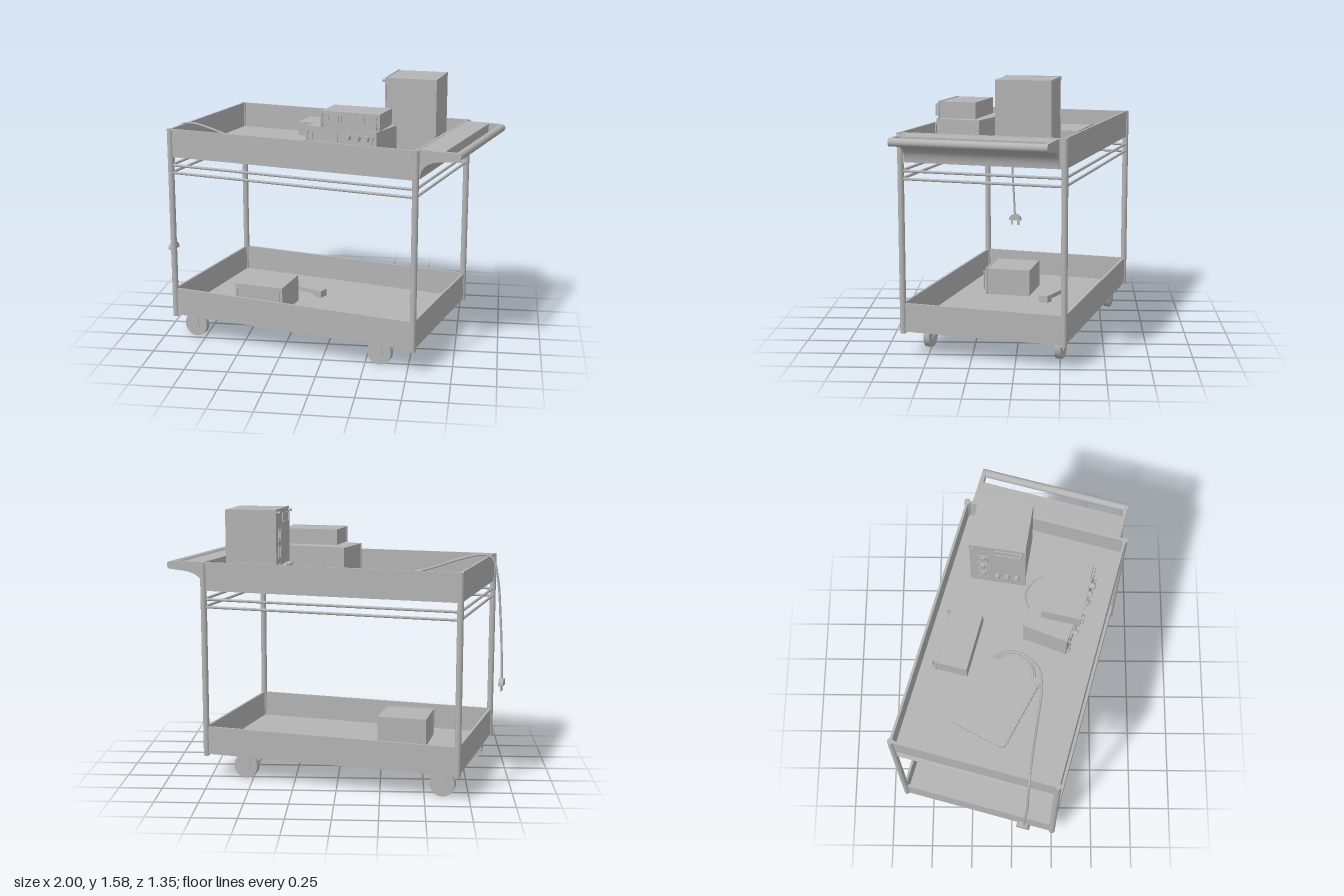
import * as THREE from 'three';

const metal = new THREE.MeshStandardMaterial({ color: 0xb4b4b4 });
metal.name = 'plain grey';
const deg = Math.PI / 180;

function add(parent, name, geometry, x = 0, y = 0, z = 0) {
  const m = new THREE.Mesh(geometry, metal);
  m.name = name;
  m.position.set(x, y, z);
  parent.add(m);
  return m;
}
const box = (p, name, w, h, d, x, y, z) => add(p, name, new THREE.BoxGeometry(w, h, d), x, y, z);
function rod(p, name, r, len, axis, x, y, z, seg = 16) {
  const g = new THREE.CylinderGeometry(r, r, len, seg);
  if (axis === 'x') g.rotateZ(Math.PI / 2);
  if (axis === 'z') g.rotateX(Math.PI / 2);
  return add(p, name, g, x, y, z);
}
const tube = (p, name, pts, r) => add(p, name, new THREE.TubeGeometry(
  new THREE.CatmullRomCurve3(pts.map(a => new THREE.Vector3(...a))), 60, r, 8));
function extrude(p, name, shape, depth, z) {
  return add(p, name, new THREE.ExtrudeGeometry(shape, { depth, bevelEnabled: false, curveSegments: 16 }), 0, 0, z);
}

const L = 0.753, W = 0.471; // half spacing of the posts

function addTray(p, name, y0) {
  const g = new THREE.Group();
  g.name = name;
  p.add(g);
  box(g, 'trayFloor', 2 * L, 0.008, 2 * W, 0, y0 + 0.008, 0);
  for (const s of [-1, 1]) {
    box(g, 'longWall', 2 * L, 0.165, 0.014, 0, y0 + 0.0825, s * W);
    box(g, 'endWall', 0.014, 0.165, 2 * W, s * L, y0 + 0.0825, 0);
  }
}

// Swivel wheel with a slanted fork plate on each side
function addCaster(p, x, z) {
  const g = new THREE.Group();
  g.name = 'caster';
  g.position.set(x, 0, z);
  p.add(g);
  rod(g, 'wheel', 0.072, 0.036, 'z', 0, 0.072, 0, 32);
  rod(g, 'axle', 0.01, 0.058, 'z', 0, 0.072, 0);
  const fork = new THREE.Shape([[-0.045, 0.148], [-0.02, 0.055], [0.025, 0.055], [0.012, 0.148]]
    .map(a => new THREE.Vector2(...a)));
  for (const s of [-1, 1]) extrude(g, 'forkPlate', fork, 0.005, s * 0.023 - 0.0025);
  box(g, 'forkTop', 0.057, 0.006, 0.05, -0.017, 0.147, 0);
}

// Curved push handle with an open slot behind the bar
function addHandle(p) {
  const profile = (end) => {
    const s = new THREE.Shape();
    s.moveTo(L, 1.278);
    s.lineTo(L, 1.115);
    s.lineTo(0.764, 1.115);
    s.bezierCurveTo(0.77, 1.175, 0.8, 1.212, 0.895, 1.222);
    s.lineTo(end, 1.229);
    s.lineTo(end, 1.275);
    return s;
  };
  extrude(p, 'handleApron', profile(0.9), 0.88, -0.44);
  for (const s of [-1, 1]) extrude(p, 'handleCheek', profile(0.972), 0.024, s * 0.43 - 0.012);
  rod(p, 'handleBar', 0.023, 0.884, 'z', 0.972, 1.252, 0, 24);
}

// Boxed instrument; its front panel faces local +z
function addUnit(p, name, w, h, d, x, y, z, angle) {
  const g = new THREE.Group();
  g.name = name;
  g.position.set(x, y, z);
  g.rotation.y = angle * deg;
  p.add(g);
  box(g, 'casing', w, h, d, 0, h / 2, 0);
  box(g, 'frontPanel', w + 0.008, h + 0.006, 0.01, 0, h / 2, d / 2 + 0.002);
  return g;
}
function addGrips(g, w, h, d) {
  for (const s of [-1, 1]) {
    const x = s * (w / 2 - 0.014), z = d / 2 + 0.022;
    box(g, 'grip', 0.008, h * 0.75, 0.008, x, h / 2, z);
    for (const t of [-1, 1]) box(g, 'gripFoot', 0.008, 0.008, 0.022, x, h / 2 + t * (h * 0.375 - 0.004), z - 0.008);
  }
}
const knob = (g, x, y, d, r = 0.015) => rod(g, 'knob', r, 0.03, 'z', x, y, d / 2 + 0.018, 20);
function addWindow(g, x, y, d, w, h) {
  for (const s of [-1, 1]) {
    box(g, 'windowFrame', w, 0.005, 0.008, x, y + s * h / 2, d / 2 + 0.009);
    box(g, 'windowFrame', 0.005, h, 0.008, x + s * w / 2, y, d / 2 + 0.009);
  }
}

function addInstruments(p) {
  const tower = addUnit(p, 'towerUnit', 0.31, 0.447, 0.295, 0.483, 1.128, -0.065, -98.7);
  for (const y of [0.1, 0.2, 0.3]) {
    addWindow(tower, -0.085, y, 0.295, 0.055, 0.07);
    box(tower, 'switch', 0.025, 0.045, 0.02, -0.085, y, 0.158);
  }
  addWindow(tower, 0.06, 0.395, 0.295, 0.15, 0.05);
  for (const x of [0, 0.055, 0.11]) knob(tower, x, 0.11, 0.295);
  for (const s of [-1, 1]) rod(tower, 'panelScrew', 0.008, 0.03, 'z', s * 0.135, 0.43, 0.16);

  const lower = addUnit(p, 'lowerUnit', 0.44, 0.202, 0.255, 0.138, 1.128, 0.255, -21);
  addGrips(lower, 0.44, 0.202, 0.255);
  for (const x of [0.05, 0.11, 0.165]) knob(lower, x, 0.165, 0.255, 0.018);
  for (const x of [-0.1, 0, 0.1]) knob(lower, x, 0.07, 0.255);
  addWindow(lower, -0.1, 0.15, 0.255, 0.16, 0.05);

  const upper = addUnit(p, 'upperUnit', 0.345, 0.093, 0.215, 0.17, 1.336, 0.3, -13);
  addGrips(upper, 0.345, 0.093, 0.215);
  for (const x of [-0.095, -0.02, 0.055]) addWindow(upper, x, 0.055, 0.215, 0.06, 0.04);

  const rear = addUnit(p, 'rearUnit', 0.345, 0.115, 0.18, -0.066, 1.128, -0.3, 165.5);
  addGrips(rear, 0.345, 0.115, 0.18);

  const shelf = addUnit(p, 'shelfUnit', 0.295, 0.165, 0.275, -0.4, 0.158, 0.055, -11);
  addGrips(shelf, 0.295, 0.165, 0.275);

  // Hand tool lying beside the shelf unit
  const tool = new THREE.Group();
  tool.name = 'handTool';
  tool.position.set(-0.2, 0.158, -0.2);
  tool.rotation.y = -27 * deg;
  p.add(tool);
  box(tool, 'toolBody', 0.26, 0.025, 0.06, 0, 0.03, 0);
  for (const s of [-1, 1]) box(tool, 'toolEnd', 0.05, 0.035, 0.062, s * 0.105, 0.0175, 0);
}

function addNotebook(p) {
  const g = new THREE.Group();
  g.name = 'notebook';
  g.position.set(-0.41, 1.15, -0.095);
  g.rotation.y = -27.5 * deg;
  p.add(g);
  const a = 0.222, b = 0.172, r = 0.025, s = new THREE.Shape();
  s.absarc(a - r, b - r, r, 0, Math.PI / 2);
  s.absarc(r - a, b - r, r, Math.PI / 2, Math.PI);
  s.absarc(r - a, r - b, r, Math.PI, 1.5 * Math.PI);
  s.absarc(a - r, r - b, r, 1.5 * Math.PI, 2 * Math.PI);
  const cover = extrude(g, 'cover', s, 0.022, 0);
  cover.rotation.x = -Math.PI / 2;
  for (let i = 0; i < 14; i++)
    add(g, 'bindingRing', new THREE.TorusGeometry(0.013, 0.002, 6, 12).rotateY(Math.PI / 2), -0.18 + i * 0.0277, 0.013, 0.166);
}

function addCables(p) {
  const coil = (name, x, y, z, r) => add(p, name, new THREE.TorusGeometry(r, 0.007, 8, 48).rotateX(Math.PI / 2), x, y, z);
  coil('cableCoil', -0.245, 1.136, -0.015, 0.14);
  coil('cableCoil', -0.25, 1.148, -0.01, 0.125);
  coil('looseLoop', 0.23, 1.136, 0.2, 0.13);
  // Mains lead draped over the end wall
  tube(p, 'mainsLead', [[-0.12, 1.15, 0.05], [-0.2, 1.155, 0.14], [-0.3, 1.16, 0.165], [-0.5, 1.19, 0.145],
    [-0.72, 1.262, 0.115], [-0.84, 1.288, 0.1], [-0.905, 1.27, 0.095], [-0.94, 1.15, 0.09],
    [-0.962, 0.9, 0.088], [-0.972, 0.7, 0.078], [-0.976, 0.53, 0.07]], 0.007);
  const plug = new THREE.Group();
  plug.name = 'plug';
  plug.position.set(-0.976, 0.5, 0.068);
  plug.rotation.y = -15 * deg;
  p.add(plug);
  const body = new THREE.Shape();
  body.moveTo(-0.04, 0);
  body.lineTo(0.04, 0);
  body.bezierCurveTo(0.04, 0.03, 0.02, 0.042, 0, 0.042);
  body.bezierCurveTo(-0.02, 0.042, -0.04, 0.03, -0.04, 0);
  const b = extrude(plug, 'plugBody', body, 0.03, 0);
  b.rotation.y = Math.PI / 2;
  b.position.x = -0.015;
  for (const s of [-1, 1]) box(plug, 'plugPin', 0.01, 0.034, 0.012, 0, -0.016, s * 0.022);
}

export function createModel() {
  const model = new THREE.Group();
  model.name = 'equipmentTrolley';

  // Trolley frame stands at an angle to the axes
  const cart = new THREE.Group();
  cart.name = 'trolley';
  cart.position.set(-0.075, 0, -0.01);
  cart.rotation.y = -15 * deg;
  model.add(cart);
  addTray(cart, 'lowerTray', 0.145);
  addTray(cart, 'upperTray', 1.115);
  for (const sx of [-1, 1]) for (const sz of [-1, 1]) {
    rod(cart, 'post', 0.018, 1.145, 'y', sx * L, 0.7075, sz * W, 24);
    addCaster(cart, sx * 0.592 - 0.061, sz * 0.393);
  }
  for (const y of [1.02, 1.065]) for (const s of [-1, 1]) {
    rod(cart, 'sideRail', 0.008, 2 * L, 'x', 0, y, s * W);
    rod(cart, 'endRail', 0.008, 2 * W, 'z', s * L, y, 0);
  }
  addHandle(cart);

  addInstruments(model);
  addNotebook(model);
  addCables(model);
  return model;
}
